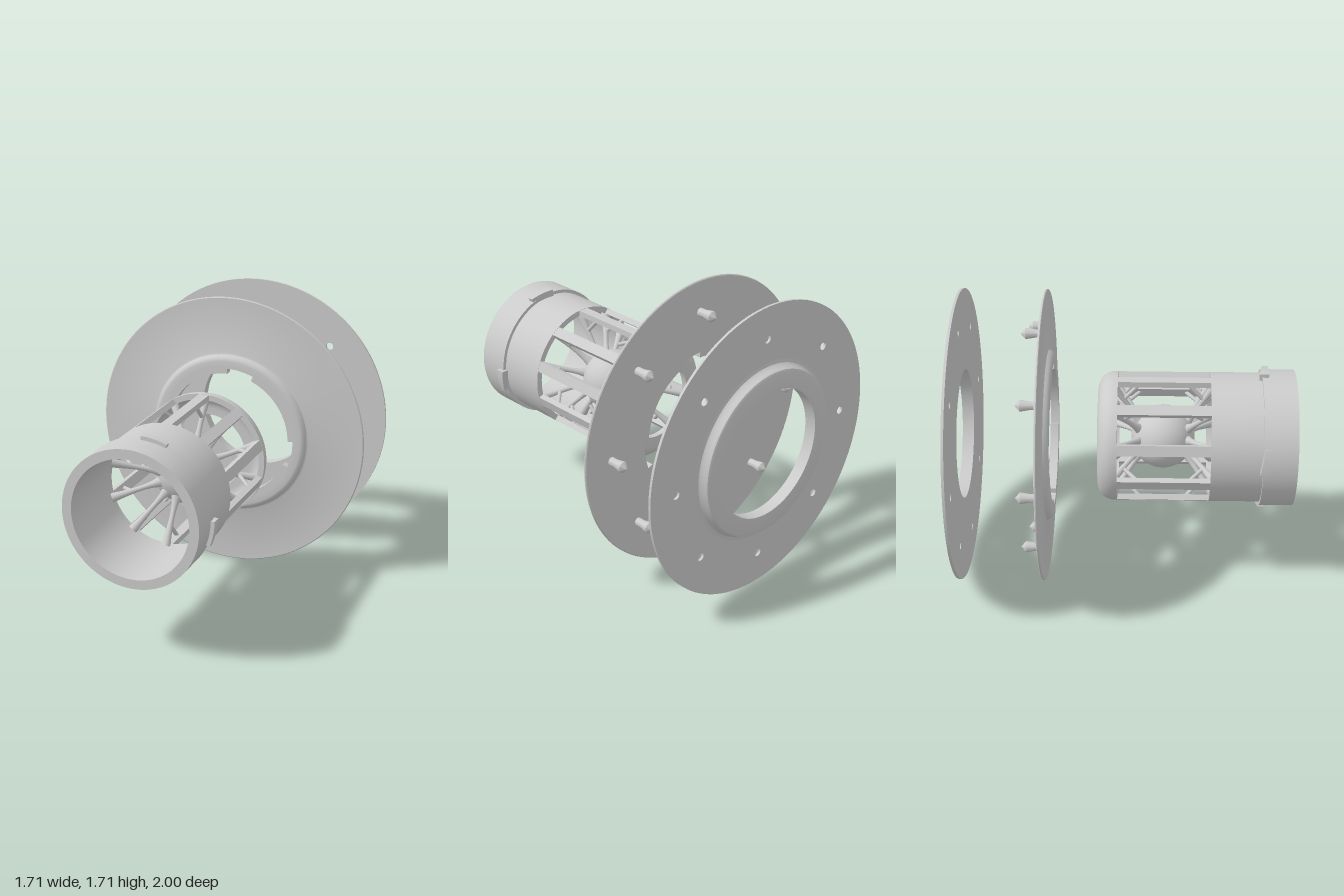
import * as THREE from 'three';
import { toCreasedNormals } from 'three/addons/utils/BufferGeometryUtils.js';

const MAT = new THREE.MeshStandardMaterial({ color: 0xcccccc });
const RADIUS = 0.857, MID_Z = 0.24, BARS = 10, PEGS = 8, PEG_R = 0.67;

function add(parent, name, geometry) {
  const mesh = new THREE.Mesh(geometry, MAT);
  mesh.name = name;
  parent.add(mesh);
  return mesh;
}

// Revolve a list of [radius, z] points about the z axis
function revolve(points, segments = 96) {
  const g = new THREE.LatheGeometry(points.map(([r, z]) => new THREE.Vector2(r, z)), segments);
  g.rotateX(Math.PI / 2);
  return toCreasedNormals(g, 0.55);
}

// Quarter-round profile points, angles in degrees
function arc(cr, cz, r, from, to, n = 8) {
  return Array.from({ length: n + 1 }, (_, i) => {
    const a = THREE.MathUtils.degToRad(from + (to - from) * i / n);
    return [cr + r * Math.cos(a), cz + r * Math.sin(a)];
  });
}

function extrude(shape, z, depth) {
  const g = new THREE.ExtrudeGeometry(shape, { depth, bevelEnabled: false, curveSegments: 64 });
  g.translate(0, 0, z);
  return toCreasedNormals(g, 0.5);
}

function circlePath(x, y, r, Type = THREE.Path) {
  return new Type().absarc(x, y, r, 0, Math.PI * 2, false);
}

const polar = (r, a, z) => new THREE.Vector3(r * Math.cos(a), r * Math.sin(a), z);

// Round rod between two points; radii are spread evenly along its length
function rod(parent, name, a, b, radii) {
  const dir = b.clone().sub(a), len = dir.length();
  const pts = radii.map((r, i) => new THREE.Vector2(r, len * i / (radii.length - 1)));
  const mesh = add(parent, name, new THREE.LatheGeometry(pts, 12));
  mesh.position.copy(a);
  mesh.quaternion.setFromUnitVectors(new THREE.Vector3(0, 1, 0), dir.normalize());
}

const TAB = THREE.MathUtils.degToRad(21);

// Wedge-shaped locking tab on the collar, running clockwise from its start angle
function lockingTab(start) {
  const s = new THREE.Shape();
  s.absarc(0, 0, 0.422, start - TAB, start, false);
  s.absarc(0, 0, 0.37, start, start - TAB, true);
  const g = new THREE.ExtrudeGeometry(s, { depth: 0.055, bevelEnabled: false, curveSegments: 12 });
  const p = g.attributes.position;
  for (let i = 0; i < p.count; i++) {
    const t = (start - Math.atan2(p.getY(i), p.getX(i)) + Math.PI * 4) % (Math.PI * 2);
    const back = p.getZ(i) < 0.01;
    p.setZ(i, back ? 0.788 + 0.022 * (t < 1 ? t / TAB : 0) : 0.843);
  }
  return toCreasedNormals(g, 0.5);
}

function buildCage() {
  const cage = new THREE.Group();
  cage.name = 'cage';
  // Front tube with a stepped collar
  add(cage, 'frontTube', revolve([
    [0.345, 0.51], [0.38, 0.51], [0.38, 0.805], [0.4, 0.805],
    [0.4, 1], [0.345, 1], [0.345, 0.51],
  ]));
  // Rounded rear ring
  add(cage, 'rearRing', revolve([
    [0.23, -0.14], ...arc(0.285, -0.045, 0.095, -90, 0), [0.38, -0.025],
    [0.345, -0.025], ...arc(0.27, -0.03, 0.075, 0, -90), [0.23, -0.105], [0.23, -0.14],
  ]));
  for (let i = 0; i < 4; i++) add(cage, 'lockingTab', lockingTab(i * Math.PI / 2));

  // Core ball held by struts at both ends
  const ball = add(cage, 'coreBall', new THREE.SphereGeometry(0.187, 40, 28));
  ball.position.z = MID_Z;

  for (let i = 0; i < BARS; i++) {
    const a = Math.PI / 2 + i * Math.PI * 2 / BARS;
    const bar = add(cage, 'cageBar', new THREE.BoxGeometry(0.034, 0.062, 0.545));
    bar.position.copy(polar(0.361, a, 0.2425));
    bar.rotation.z = a;
    for (const s of [-1, 1]) {
      const z = (d) => MID_Z + s * d;
      rod(cage, 'strut', polar(0.1, a, z(0.135)), polar(0.35, a, z(0.3)),
        [0.034, 0.02, 0.015, 0.015, 0.018, 0.022, 0.028]);
      rod(cage, 'strutBrace', polar(0.25, a, z(0.23)), polar(0.35, a, z(0.14)), [0.012, 0.012]);
    }
  }
  return cage;
}

function buildFrontFlange() {
  const flange = new THREE.Group();
  flange.name = 'frontFlange';
  // Thin disc rising to a filleted hub
  add(flange, 'flangeDisc', revolve([
    [0.43, -0.455], [0.852, -0.455], [RADIUS, -0.45], [RADIUS, -0.444], [0.852, -0.44],
    [0.515, -0.44], [0.503, -0.435], [0.493, -0.418], [0.482, -0.408], [0.468, -0.405],
    [0.43, -0.405], [0.43, -0.455],
  ], 128));
  // Hub lip with four clearance notches
  const lip = circlePath(0, 0, 0.43, THREE.Shape);
  const hole = new THREE.Path();
  for (let i = 0; i < 4; i++) {
    const a = i * Math.PI / 2;
    hole.absarc(0, 0, 0.422, a - TAB - 0.02, a + 0.02, false);
    hole.absarc(0, 0, 0.39, a + 0.02, a + Math.PI / 2 - TAB - 0.02, false);
  }
  hole.closePath();
  lip.holes.push(hole);
  add(flange, 'notchedLip', extrude(lip, -0.455, 0.05));
  // Snap pegs on the back
  for (let i = 0; i < PEGS; i++) {
    const peg = add(flange, 'snapPeg', revolve([
      [0, -0.577], [0.032, -0.548], [0.031, -0.535], [0.024, -0.495], [0.024, -0.45],
    ], 20));
    peg.position.copy(polar(PEG_R, i * Math.PI * 2 / PEGS, 0));
  }
  return flange;
}

function buildRearFlange() {
  const flange = new THREE.Group();
  flange.name = 'rearFlange';
  // Drilled outer disc
  const disc = circlePath(0, 0, RADIUS, THREE.Shape);
  disc.holes.push(circlePath(0, 0, 0.53));
  for (let i = 0; i < PEGS; i++) {
    const c = polar(PEG_R, i * Math.PI * 2 / PEGS, 0);
    disc.holes.push(circlePath(c.x, c.y, 0.023));
  }
  add(flange, 'drilledDisc', extrude(disc, -0.945, 0.015));
  // Raised hub facing backward
  add(flange, 'raisedHub', revolve([
    [0.38, -1], [0.475, -1], [0.488, -0.994], [0.494, -0.982], [0.5, -0.96],
    [0.51, -0.949], [0.53, -0.945], [0.53, -0.93], [0.38, -0.93], [0.38, -1],
  ], 128));
  return flange;
}

export function createModel() {
  const model = new THREE.Group();
  model.name = 'explodedSpool';
  model.add(buildCage(), buildFrontFlange(), buildRearFlange());
  for (const part of model.children) part.position.y = RADIUS;
  return model;
}
